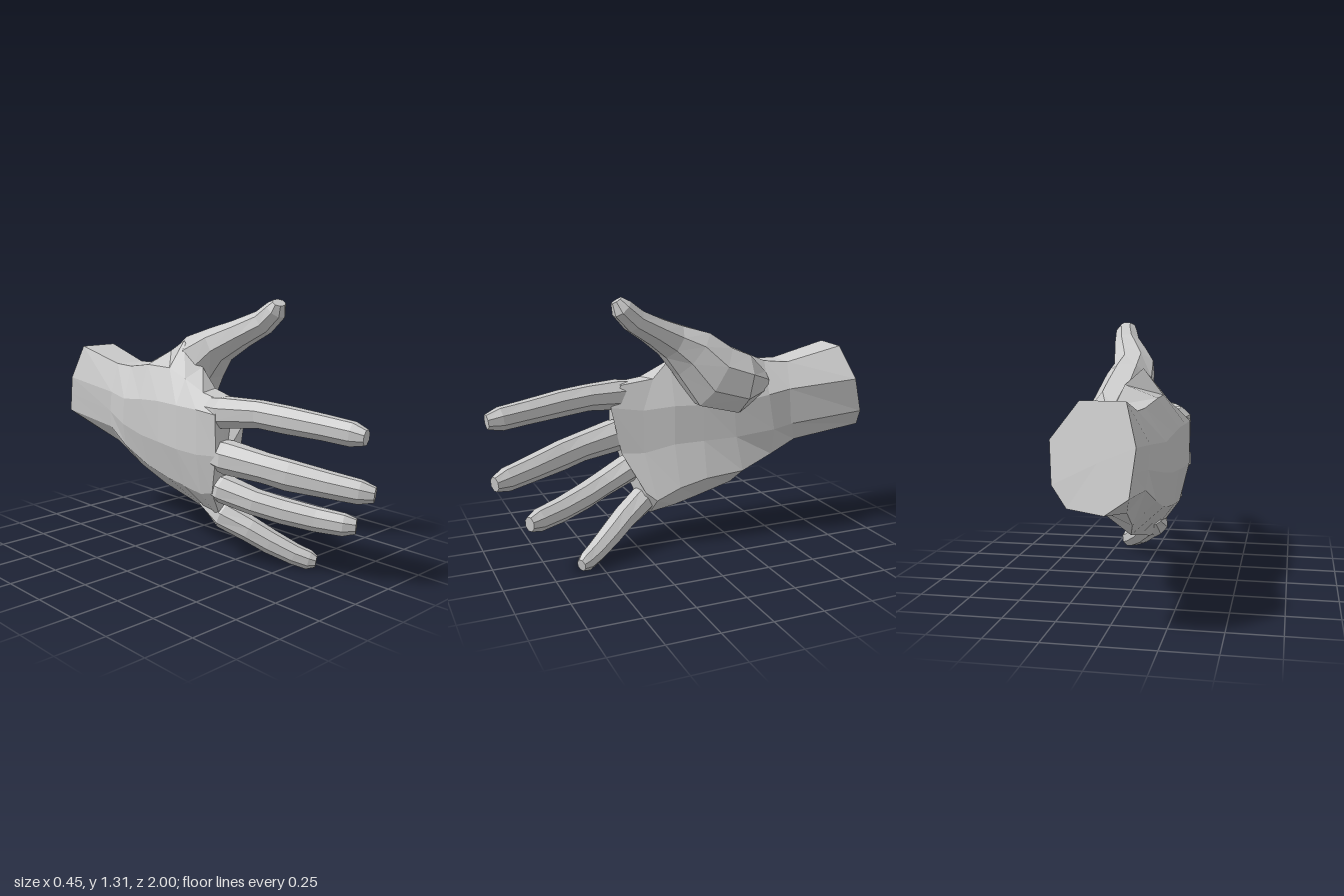
import * as THREE from 'three';

const material = new THREE.MeshStandardMaterial({ color: 0xcccccc, flatShading: true });

// Skin a row of equal-sized rings of points and cap both ends
function loft(name, rings) {
  const n = rings[0].length;
  const pos = rings.flat().flatMap((p) => p.toArray());
  const idx = [];
  for (let r = 0; r < rings.length - 1; r++) {
    for (let i = 0; i < n; i++) {
      const a = r * n + i, b = r * n + (i + 1) % n;
      idx.push(a, b, a + n, b, b + n, a + n);
    }
  }
  [0, rings.length - 1].forEach((r) => {
    const c = new THREE.Vector3();
    rings[r].forEach((p) => c.addScaledVector(p, 1 / n));
    const centre = pos.length / 3;
    pos.push(...c.toArray());
    for (let i = 0; i < n; i++) {
      const a = r * n + i, b = r * n + (i + 1) % n;
      if (r === 0) idx.push(centre, b, a);
      else idx.push(centre, a, b);
    }
  });
  // Turn the faces outward whichever way the rings run
  const v = (i) => new THREE.Vector3().fromArray(pos, i * 3);
  let volume = 0;
  for (let i = 0; i < idx.length; i += 3) volume += v(idx[i]).dot(v(idx[i + 1]).cross(v(idx[i + 2])));
  if (volume < 0) idx.reverse();

  const indexed = new THREE.BufferGeometry();
  indexed.setAttribute('position', new THREE.Float32BufferAttribute(pos, 3));
  indexed.setIndex(idx);
  const geometry = indexed.toNonIndexed();
  geometry.computeVertexNormals();
  const mesh = new THREE.Mesh(geometry, material);
  mesh.name = name;
  return mesh;
}

// Digit from joints [x, y, z, half size along ref, half size across]
function digit(name, joints, ref) {
  const sides = 8, k = 1 / Math.cos(Math.PI / sides);
  const at = (i) => new THREE.Vector3(...joints[Math.min(Math.max(i, 0), joints.length - 1)].slice(0, 3));
  const rings = joints.map(([, , , a, b], i) => {
    const t = at(i + 1).sub(at(i - 1)).normalize();
    const u = ref.clone().addScaledVector(t, -ref.dot(t)).normalize();
    const w = t.clone().cross(u);
    return Array.from({ length: sides }, (_, s) => {
      const angle = (s + 0.5) / sides * Math.PI * 2;
      return at(i).addScaledVector(u, Math.cos(angle) * a * k).addScaledVector(w, Math.sin(angle) * b * k);
    });
  });
  return loft(name, rings);
}

export function createModel() {
  const hand = new THREE.Group();
  hand.name = 'hand';
  const xAxis = new THREE.Vector3(1, 0, 0), yAxis = new THREE.Vector3(0, 1, 0);

  // Wrist and palm: rings run top, palm side, bottom, back of hand
  const wrist = [
    [[-.1, 1, -.884], [.1, 1, -.868], [.22, .84, -.9], [.2, .66, -.952], [.13, .57, -.98], [-.03, .55, -1], [-.13, .62, -.989], [-.14, .72, -.963], [-.15, .82, -.937]],
    [[-.09, .93, -.58], [.07, .93, -.57], [.14, .8, -.55], [.13, .61, -.57], [.08, .51, -.62], [-.05, .48, -.63], [-.13, .58, -.6], [-.14, .67, -.59], [-.145, .78, -.57]],
    [[-.1, .93, -.45], [.04, .94, -.45], [.14, .78, -.43], [.13, .59, -.47], [.1, .45, -.47], [-.04, .38, -.45], [-.15, .5, -.44], [-.185, .63, -.42], [-.19, .77, -.4]],
  ];
  const palm = [
    [[-.13, .96, -.27], [.03, 1.02, -.27], [.1, .74, -.25], [.09, .56, -.27], [.11, .38, -.3], [0, .29, -.28], [-.155, .43, -.25], [-.2, .6, -.25], [-.205, .79, -.25]],
    [[-.13, .96, -.1], [-.03, 1.09, -.1], [.06, .74, -.1], [.06, .55, -.1], [.1, .36, -.1], [.01, .24, -.08], [-.16, .4, -.1], [-.21, .59, -.1], [-.21, .8, -.1]],
    [[-.14, .92, .03], [-.04, .97, .05], [.03, .74, .05], [.03, .54, .05], [.08, .32, .04], [.01, .21, .04], [-.165, .38, .05], [-.22, .58, .05], [-.22, .8, .05]],
    [[-.15, .87, .17], [-.04, .875, .14], [-.02, .72, .2], [-.01, .5, .2], [.06, .26, .16], [-.02, .175, .17], [-.175, .37, .18], [-.225, .58, .2], [-.225, .8, .2]],
    [[-.16, .85, .3], [-.07, .85, .3], [-.06, .74, .36], [-.05, .5, .31], [.03, .3, .21], [-.06, .21, .21], [-.175, .39, .26], [-.21, .59, .32], [-.215, .79, .32]],
  ];
  const rings = [...wrist, ...palm].map((ring) => ring.map((p) => new THREE.Vector3(...p)));
  hand.add(loft('wristAndPalm', rings));

  // Fingers, each starting from a slim root sunk in the palm
  const fingers = {
    indexFinger: [[-.13, .79, .12, .05, .05], [-.135, .79, .3, .073, .08], [-.08, .8, .48, .062, .065], [-.05, .79, .62, .062, .06],
      [0, .775, .8, .056, .055], [.03, .762, .93, .054, .047], [.04, .755, .995, .035, .028]],
    middleFinger: [[-.14, .59, .12, .05, .05], [-.135, .575, .33, .078, .08], [-.08, .55, .52, .068, .065], [-.04, .53, .63, .07, .06],
      [.04, .505, .8, .06, .055], [.1, .487, .93, .054, .047], [.13, .48, .99, .035, .028]],
    ringFinger: [[-.11, .43, .1, .04, .05], [-.1, .4, .27, .066, .075], [-.04, .355, .42, .06, .065], [.025, .325, .54, .06, .06],
      [.1, .3, .68, .057, .052], [.16, .288, .8, .052, .046], [.19, .285, .85, .035, .028]],
    littleFinger: [[-.05, .29, .08, .03, .04], [-.04, .24, .21, .066, .065], [.02, .18, .33, .06, .06], [.075, .125, .42, .057, .055],
      [.14, .072, .52, .05, .047], [.18, .048, .58, .046, .038], [.2, .042, .61, .028, .024]],
  };
  for (const [name, joints] of Object.entries(fingers)) hand.add(digit(name, joints, yAxis));

  // Thumb, swelling into the ball of the thumb at its root
  hand.add(digit('thumb', [
    [.05, .83, -.43, .06, .06], [.075, .845, -.29, .125, .15], [.07, .89, -.14, .13, .165], [.05, 1.01, -.03, .115, .13],
    [.05, 1.08, .08, .1, .088], [.09, 1.14, .19, .083, .068], [.13, 1.2, .3, .064, .058], [.145, 1.26, .365, .055, .05],
    [.14, 1.297, .388, .035, .027],
  ], xAxis));

  return hand;
}
